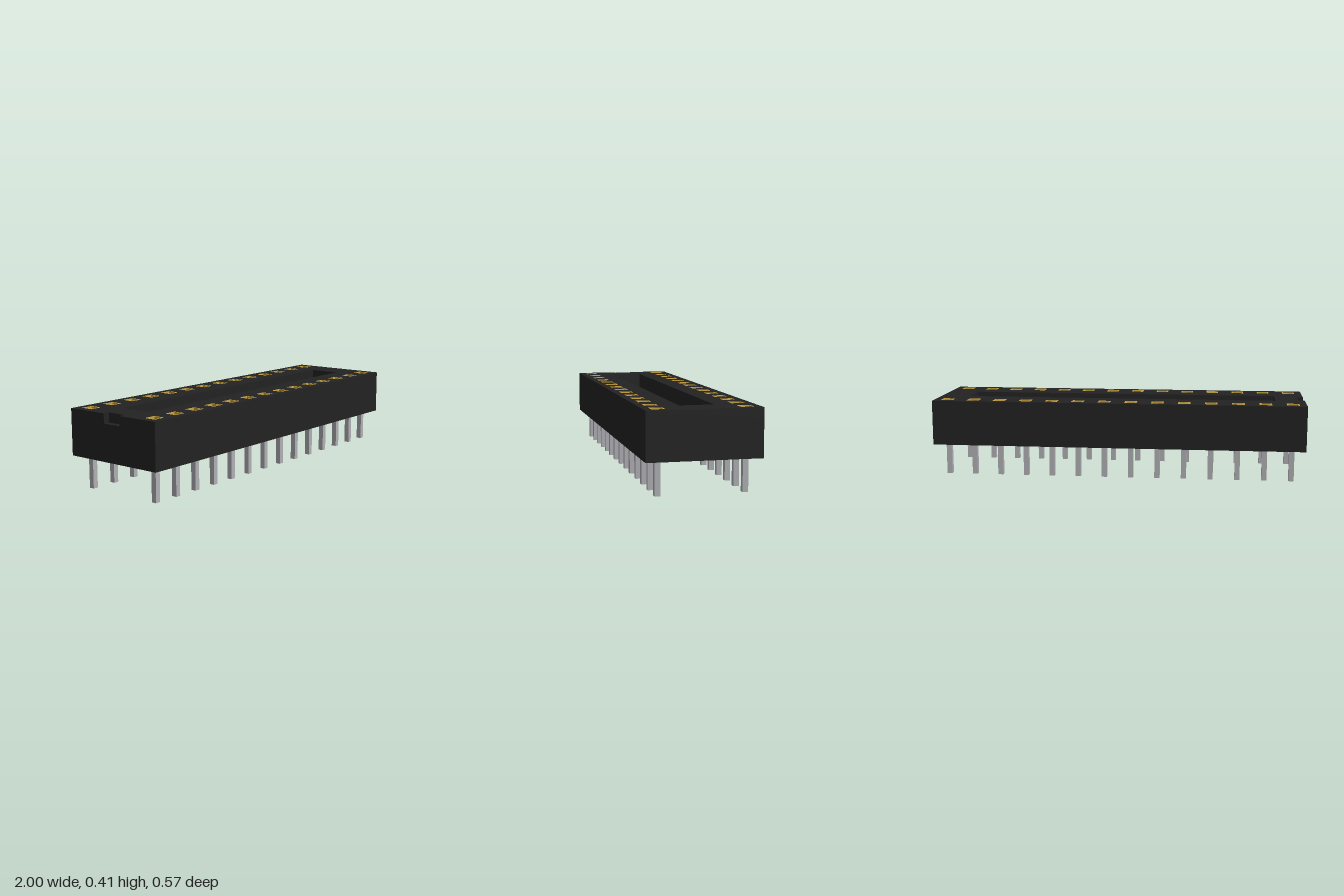
import * as THREE from 'three';

const PINS = 14, PITCH = 0.1429, ROW_Z = 0.214;
const BOTTOM = 0.17, LEDGE = 0.36, TOP = 0.41;
const HALF_Z = 0.283, CONTACT = 0.066, WALL = 0.008, RECESS = 0.02;

const black = new THREE.MeshStandardMaterial({ name: 'black plastic', color: 0x222222 });
const silver = new THREE.MeshStandardMaterial({ name: 'silver pin', color: 0xb0b0b5 });
const gold = new THREE.MeshStandardMaterial({ name: 'gold contact', color: 0xc8a03c });

const polygon = (points, Type = THREE.Shape) => new Type(points.map(([x, y]) => new THREE.Vector2(x, y)));

const rect = (x, z, w, d) => [
  [x - w / 2, z - d / 2], [x + w / 2, z - d / 2], [x + w / 2, z + d / 2], [x - w / 2, z + d / 2],
];

// Raise a floor-plan shape from y0 to y1
function slab(shape, y0, y1) {
  const geometry = new THREE.ExtrudeGeometry(shape, { depth: y1 - y0, bevelEnabled: false });
  return geometry.rotateX(-Math.PI / 2).translate(0, y0, 0);
}

export function createModel() {
  const model = new THREE.Group();
  model.name = 'chipSocket';
  const add = (name, geometry, material, x = 0, y = 0, z = 0) => {
    const mesh = new THREE.Mesh(geometry, material);
    mesh.name = name;
    mesh.position.set(x, y, z);
    model.add(mesh);
  };

  const spots = [];
  for (const z of [-ROW_Z, ROW_Z])
    for (let i = 0; i < PINS; i++) spots.push([(i - (PINS - 1) / 2) * PITCH, z]);

  // Lower body: rectangular frame around the long slot
  const slot = rect(0, 0, 1.685, 0.172);
  const lower = polygon(rect(0, 0, 2, HALF_Z * 2));
  lower.holes.push(polygon(slot, THREE.Path));
  add('lowerBody', slab(lower, BOTTOM, LEDGE), black);

  // Upper body: same frame with an orientation notch and contact openings
  const upper = polygon([
    [-1, -HALF_Z], [1, -HALF_Z], [1, HALF_Z], [-1, HALF_Z],
    [-1, 0.053], [-0.966, 0.053], [-0.966, -0.053], [-1, -0.053],
  ]);
  upper.holes.push(polygon(slot, THREE.Path));
  for (const [x, z] of spots) upper.holes.push(polygon(rect(x, z, CONTACT, CONTACT), THREE.Path));
  add('upperBody', slab(upper, LEDGE, TOP), black);

  // Contacts: gold square sleeves with a dark floor, and a pin below each
  const ring = polygon(rect(0, 0, CONTACT, CONTACT));
  const inner = CONTACT - 2 * WALL;
  ring.holes.push(polygon(rect(0, 0, inner, inner), THREE.Path));
  const sleeve = slab(ring, TOP - RECESS, TOP);
  const floorHeight = TOP - RECESS - LEDGE;
  const floor = new THREE.BoxGeometry(CONTACT, floorHeight, CONTACT);
  const pin = new THREE.BoxGeometry(0.028, BOTTOM, 0.028);
  for (const [x, z] of spots) {
    add('contactSleeve', sleeve, gold, x, 0, z);
    add('contactFloor', floor, black, x, LEDGE + floorHeight / 2, z);
    add('pin', pin, silver, x, BOTTOM / 2, z);
  }
  return model;
}
